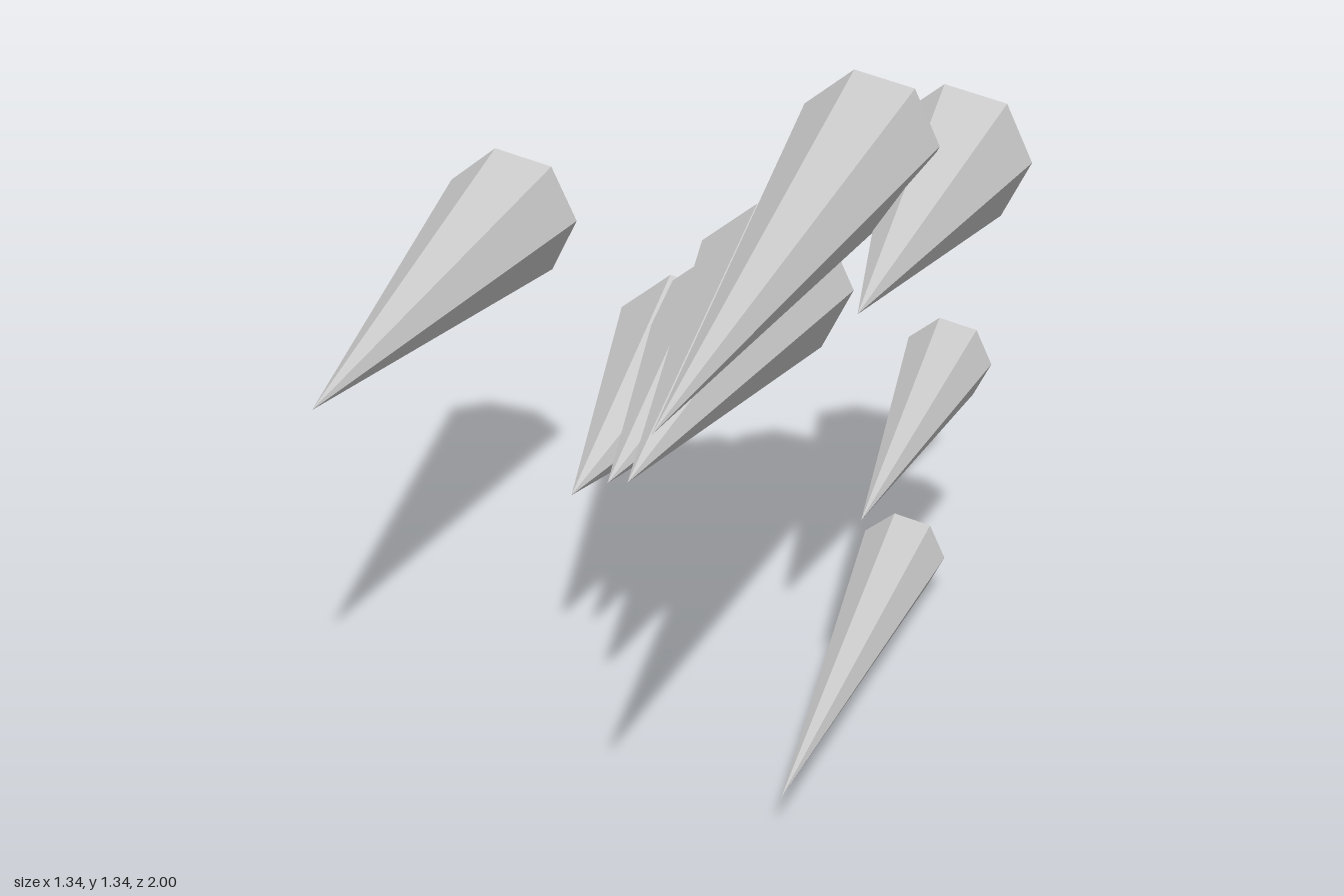
import * as THREE from 'three';

export function createModel() {
  const group = new THREE.Group();
  group.name = 'spikeCluster';

  const grey = new THREE.MeshStandardMaterial({ color: 0xcccccc, flatShading: true });
  grey.name = 'pale grey';

  // Each spike: centre x, centre y, base radius, tip z, base z
  const spikes = [
    [-0.528, 0.854, 0.162, 0.36, -0.845],
    [0.361, 1.188, 0.157, 1.0, -0.635],
    [0.503, 1.068, 0.168, 0.07, -0.94],
    [0.102, 0.748, 0.19, 0.285, -0.867],
    [-0.042, 0.581, 0.174, -0.045, -0.98],
    [-0.143, 0.51, 0.179, -0.11, -1.0],
    [0.09, 0.674, 0.102, -0.05, -0.98],
    [0.492, 0.549, 0.104, -0.09, -1.0],
    [0.433, 0.104, 0.101, 0.31, -0.86],
  ];

  spikes.forEach(([x, y, radius, tip, base], i) => {
    // Seven-sided cone pointing forward, with one corner towards +x
    const geometry = new THREE.ConeGeometry(radius, tip - base, 7, 1, false, Math.PI / 2);
    geometry.rotateX(Math.PI / 2);
    const spike = new THREE.Mesh(geometry, grey);
    spike.name = `spike${i + 1}`;
    spike.position.set(x, y, (tip + base) / 2);
    group.add(spike);
  });

  return group;
}
